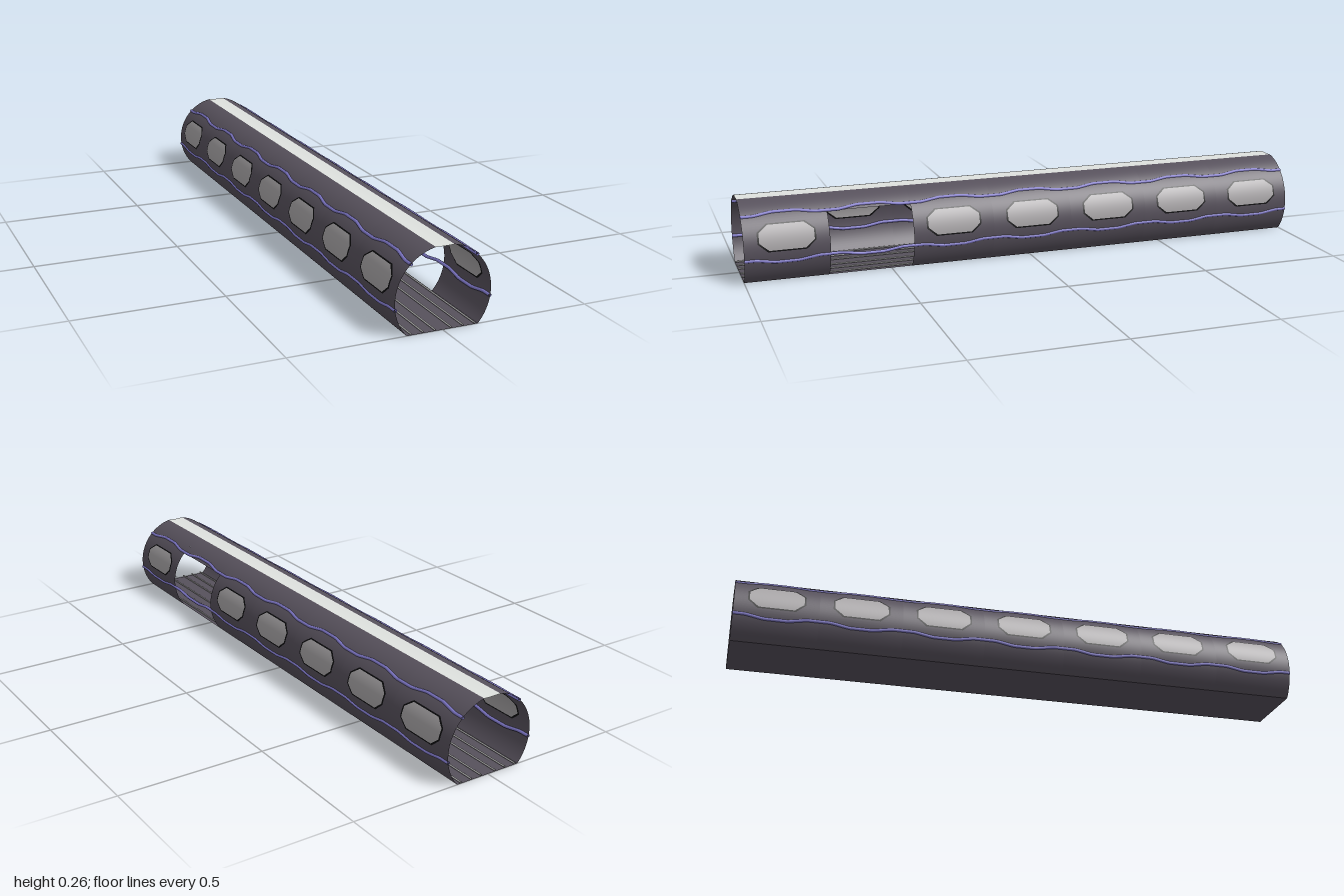
import * as THREE from 'three';

const R = 0.16, CY = 0.107, BAYS = 7, BAY = 2 / BAYS;
const FLOOR_A = -Math.asin(CY / R), LIGHT_A = Math.acos(0.031 / R), DOOR_A = 0.784;
const WIN_A = 0.32;

const mat = (name, color) => {
  const m = new THREE.MeshStandardMaterial({ color, side: THREE.DoubleSide });
  m.name = name;
  return m;
};

// Curved sheet on the tunnel wall: rows run over the angle, halfWidth(a) gives the z extent
function sheet(side, a0, a1, rows, zMid, halfWidth, r = () => R) {
  const pos = [], idx = [];
  for (let i = 0; i <= rows; i++) {
    const a = a0 + (a1 - a0) * i / rows, w = halfWidth(a), rr = r(a);
    const x = side * rr * Math.cos(a), y = CY + rr * Math.sin(a);
    pos.push(x, y, zMid - w, x, y, zMid + w);
    if (i < rows) {
      const k = i * 2;
      if (side > 0) idx.push(k, k + 2, k + 1, k + 1, k + 2, k + 3);
      else idx.push(k, k + 1, k + 2, k + 1, k + 3, k + 2);
    }
  }
  const g = new THREE.BufferGeometry();
  g.setAttribute('position', new THREE.Float32BufferAttribute(pos, 3));
  g.setIndex(idx);
  g.computeVertexNormals();
  return g;
}

// Wavy pipe lying on the wall, bulging around each window
class WavyLine extends THREE.Curve {
  constructor(side, angle, amp) { super(); Object.assign(this, { side, angle, amp }); }
  getPoint(t, target = new THREE.Vector3()) {
    const z = 1 - 2 * t;
    const wave = THREE.MathUtils.clamp(1.5 * Math.cos(z * Math.PI * 2 / BAY), -1, 1);
    const a = this.angle + this.amp * wave;
    return target.set(this.side * 0.159 * Math.cos(a), CY + 0.159 * Math.sin(a), z);
  }
}

export function createModel() {
  const group = new THREE.Group();
  const shell = mat('shell', 0x57515c), light = mat('ceilingLight', 0xdfe2df);
  const glass = mat('glass', 0xa9a6a8), black = mat('frame', 0x0c0c0e);
  const purple = mat('pipe', 0x7f78c8), metal = mat('floorLine', 0xb4b4b4);
  const add = (name, geo, material) => {
    const m = new THREE.Mesh(geo, material);
    m.name = name;
    group.add(m);
    return m;
  };

  // Octagonal window outline as a half width over the angle
  const octagon = (half, wide, narrow) => (a) => {
    const t = Math.abs(a - WIN_A) / half;
    return t < 0.4 ? wide : wide + (narrow - wide) * (t - 0.4) / 0.6;
  };

  for (const side of [-1, 1]) {
    for (let i = 0; i < BAYS; i++) {
      const z = 1 - BAY * (i + 0.5);
      const doorway = side > 0 && i === 1;
      // Wall bay, cut away below the lintel at the doorway
      add('wallPanel', sheet(side, doorway ? DOOR_A : FLOOR_A, LIGHT_A, doorway ? 12 : 40, z, () => BAY / 2), shell);
      if (doorway) continue;
      // Window plates on the outer and inner face
      for (const s of [-1, 1]) {
        add('windowFrame', sheet(side, WIN_A - 0.3, WIN_A + 0.3, 20, z,
          octagon(0.3, 0.097, 0.064), () => R + s * 0.0008), black);
        add('windowGlass', sheet(side, WIN_A - 0.27, WIN_A + 0.27, 20, z,
          octagon(0.27, 0.091, 0.06), () => R + s * 0.0016), glass);
      }
    }
    // Upper and lower wavy pipes
    add('upperPipe', new THREE.TubeGeometry(new WavyLine(side, 0.845, 0.038), 168, 0.0055, 8), purple);
    add('lowerPipe', new THREE.TubeGeometry(new WavyLine(side, -0.175, -0.034), 168, 0.0055, 8), purple);
    // Thin lines along the floor
    for (const x of [0.027, 0.067, 0.107]) {
      const line = add('floorLine', new THREE.CylinderGeometry(0.003, 0.003, 2, 8), metal);
      line.rotation.x = Math.PI / 2;
      line.position.set(side * x, 0.005, 0);
    }
  }

  // Ceiling light, slightly sunken along the middle
  add('ceilingLight', sheet(1, LIGHT_A, Math.PI - LIGHT_A, 8, 0, () => 1,
    (a) => R - 0.004 * Math.cos((a - Math.PI / 2) / (Math.PI / 2 - LIGHT_A) * Math.PI / 2)), light);

  // Flat floor
  const floor = add('floor', new THREE.PlaneGeometry(2 * R * Math.cos(FLOOR_A), 2), shell);
  floor.rotation.x = -Math.PI / 2;
  return group;
}
